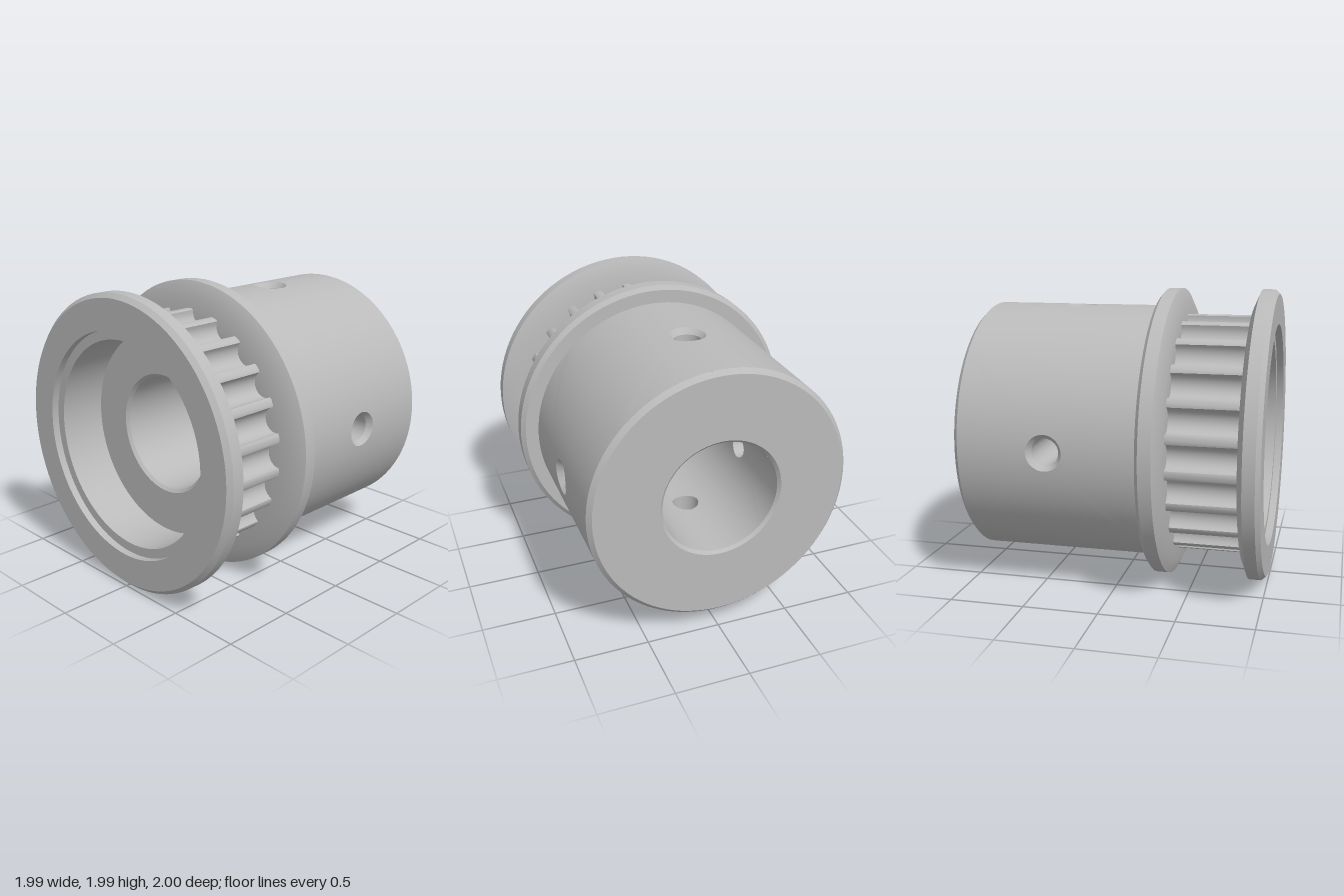
import * as THREE from 'three';
import { mergeGeometries, toCreasedNormals } from 'three/addons/utils/BufferGeometryUtils.js';

const CREASE = 0.5;

// Surface from rows of points; faces look along (row direction) x (row-to-row direction)
function gridGeometry(rows) {
  const n = rows[0].length, index = [];
  for (let j = 0; j < rows.length - 1; j++) {
    for (let i = 0; i < n - 1; i++) {
      const a = j * n + i, b = a + 1, c = a + n, d = c + 1;
      index.push(a, b, d, a, d, c);
    }
  }
  const g = new THREE.BufferGeometry();
  g.setAttribute('position', new THREE.Float32BufferAttribute(rows.flat(2), 3));
  g.setIndex(index);
  return g;
}

// Ring turned about the z axis from [radius, z] points
function turned(points) {
  const g = new THREE.LatheGeometry(points.map(([r, z]) => new THREE.Vector2(r, z)), 96);
  g.rotateX(Math.PI / 2);
  return toCreasedNormals(g, CREASE);
}

// Quarter of the hub wall: outer skin, countersunk screw hole and bore skin in one sweep
function hubQuarter() {
  const N = 96, M = 12, zc = -0.385;
  const row = (f) => Array.from({ length: N + 1 }, (_, i) => {
    const p = (i / N) * Math.PI * 2;
    return f(Math.cos(p), Math.sin(p));
  });
  // Skin of radius R between its edge (t = 0) and a hole of radius h (t = 1)
  const skin = (R, h, z0, z1, t) => row((c, s) => {
    const m = Math.max(Math.abs(c), Math.abs(s));
    const edgeZ = (s > 0 ? z1 - zc : zc - z0) * s / m;
    const a = THREE.MathUtils.lerp(c / m * Math.PI / 4, Math.asin(h * c / R), t);
    const z = zc + THREE.MathUtils.lerp(edgeZ, h * s, t);
    return [R * Math.cos(a), R * Math.sin(a), z];
  });
  const rows = [];
  for (let j = 0; j <= M; j++) rows.push(skin(0.875, 0.12, -0.97, 0.23, j / M));
  rows.push(row((c, s) => [0.835, 0.09 * c, zc + 0.09 * s]));
  for (let j = M; j >= 0; j--) rows.push(skin(0.39, 0.09, -0.98, 0.61, j / M));
  return gridGeometry(rows);
}

// Belt teeth: narrow ribs between round grooves
function toothBand() {
  const teeth = 22, pitch = Math.PI * 2 / teeth, outline = [];
  const polar = (r, a) => outline.push([r * Math.cos(a), r * Math.sin(a)]);
  for (let k = 0; k < teeth; k++) {
    const mid = k * pitch;
    polar(0.82, mid - pitch / 2);
    polar(0.82, mid - pitch / 2 + 0.022);
    for (let i = 0; i <= 12; i++) {
      const b = (i / 12 - 0.5) * Math.PI;
      const x = 0.81 - 0.085 * Math.cos(b), y = 0.085 * Math.sin(b);
      polar(Math.hypot(x, y), mid + Math.atan2(y, x));
    }
    polar(0.82, mid + pitch / 2 - 0.022);
  }
  outline.push(outline[0]);
  const rows = [0.385, 0.85].map((z) => outline.map(([x, y]) => [x, y, z]));
  return toCreasedNormals(gridGeometry(rows), 0.8);
}

export function createModel() {
  const model = new THREE.Group();
  model.name = 'timingPulley';
  const metal = new THREE.MeshStandardMaterial({ color: 0xbababa });
  metal.name = 'grey metal';

  const body = new THREE.Group();
  body.name = 'body';
  body.position.y = 0.995;
  model.add(body);
  const add = (name, geometry) => {
    const mesh = new THREE.Mesh(geometry, metal);
    mesh.name = name;
    body.add(mesh);
  };

  // Hub with four radial screw holes and its chamfered back end
  const quarters = [0, 1, 2, 3].map((k) => hubQuarter().rotateZ(k * Math.PI / 2));
  add('hub', toCreasedNormals(mergeGeometries(quarters), CREASE));
  add('hubBackFace', turned([[0.39, -0.98], [0.41, -1], [0.845, -1], [0.875, -0.97]]));

  // Belt track between two flanges
  add('teeth', toothBand());
  add('rearFlange', turned([
    [0.87, 0.23], [0.965, 0.23], [0.995, 0.255], [0.995, 0.34], [0.9, 0.385], [0.7, 0.385],
  ]));
  add('frontFlange', turned([
    [0.7, 0.85], [0.9, 0.85], [0.995, 0.89], [0.995, 0.97], [0.965, 1], [0.76, 1],
  ]));

  // Stepped recess in the front, down to the bore
  add('frontRecess', turned([
    [0.76, 1], [0.76, 0.95], [0.695, 0.95], [0.695, 0.63], [0.41, 0.63], [0.39, 0.61],
  ]));
  return model;
}
